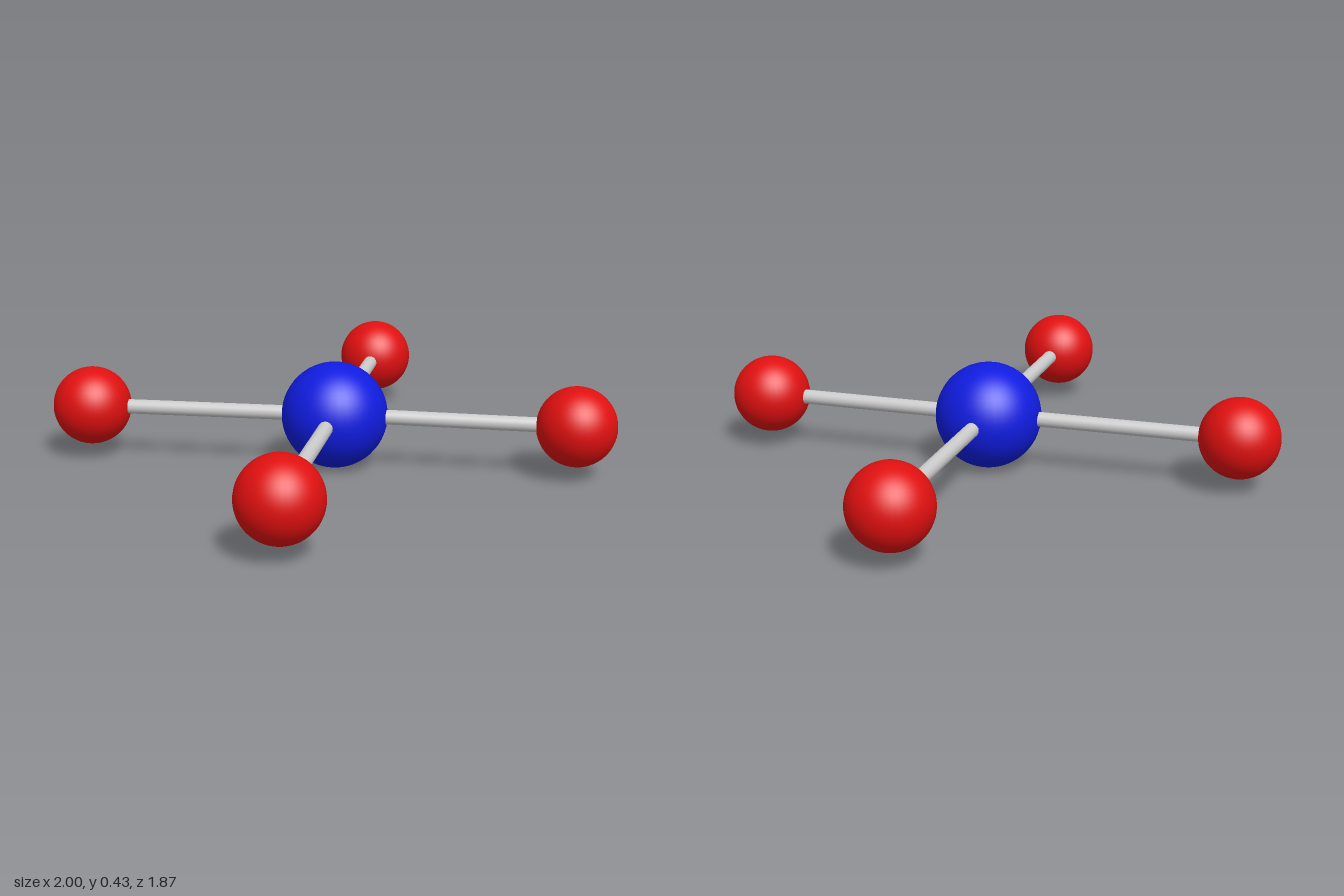
import * as THREE from 'three';

export function createModel() {
  const model = new THREE.Group();
  const grey = new THREE.MeshStandardMaterial({ color: 0xcccccc });
  const red = new THREE.MeshStandardMaterial({ color: 0xe01010 });
  const blue = new THREE.MeshStandardMaterial({ color: 0x101ce0 });

  const addBall = (name, radius, position, material) => {
    const ball = new THREE.Mesh(new THREE.SphereGeometry(radius, 40, 28), material);
    ball.name = name;
    ball.position.copy(position);
    model.add(ball);
  };

  // Rod running between two ball centres
  const addRod = (name, from, to) => {
    const direction = to.clone().sub(from);
    const rod = new THREE.Mesh(new THREE.CylinderGeometry(0.03, 0.03, direction.length(), 24), grey);
    rod.name = name;
    rod.position.copy(from).add(to).multiplyScalar(0.5);
    rod.quaternion.setFromUnitVectors(new THREE.Vector3(0, 1, 0), direction.normalize());
    model.add(rod);
  };

  // Large central ball
  const centre = new THREE.Vector3(-0.003, 0.216, 0.008);
  addBall('centreBall', 0.216, centre, blue);

  // Four outer balls, each joined to the centre by a rod
  const outer = {
    frontLeft: [0.605, 0.77],
    frontRight: [-0.84, 0.68],
    backLeft: [0.838, -0.66],
    backRight: [-0.66, -0.775],
  };
  for (const [corner, [x, z]] of Object.entries(outer)) {
    const end = new THREE.Vector3(x, 0.214, z);
    addBall(corner + 'Ball', 0.161, end, red);
    addRod(corner + 'Rod', centre, end);
  }
  return model;
}
